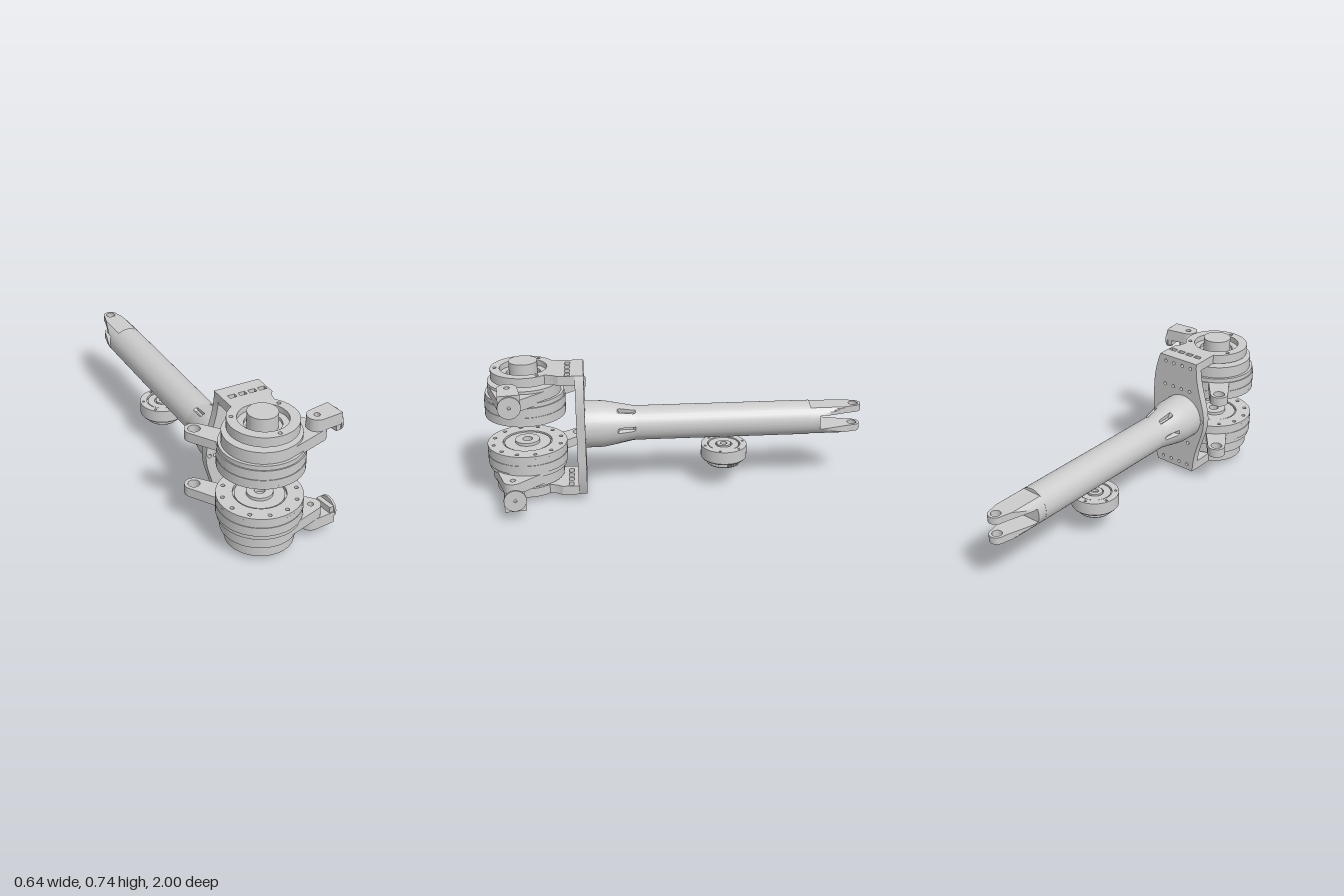
import * as THREE from 'three';
import { toCreasedNormals } from 'three/addons/utils/BufferGeometryUtils.js';

const MAT = new THREE.MeshStandardMaterial({ color: 0xcccccc });
const CX = -0.06, CY = 0.37, CZ = 0.79; // rod axis and wheel axis

export function createModel() {
  const root = new THREE.Group();
  root.name = 'strutWithTwinHubs';

  const add = (parent, name, geo) => {
    const m = new THREE.Mesh(toCreasedNormals(geo, 0.5), MAT);
    m.name = name;
    parent.add(m);
    return m;
  };
  const circleHole = (shape, x, y, r) => {
    shape.holes.push(new THREE.Path().absarc(x, y, r, 0, Math.PI * 2, true));
    return shape;
  };
  const rectHole = (shape, x, y, w, h) => {
    shape.holes.push(new THREE.Path([[-1, -1], [-1, 1], [1, 1], [1, -1]]
      .map(([a, b]) => new THREE.Vector2(x + a * w / 2, y + b * h / 2))));
    return shape;
  };
  const disc = (x, z, r, inner = 0) => {
    const s = new THREE.Shape().absarc(x, z, r, 0, Math.PI * 2);
    return inner ? circleHole(s, x, z, inner) : s;
  };
  // outline around two circles joined by their tangents
  const link = (x1, z1, r1, x2, z2, r2) => {
    const a = Math.atan2(z2 - z1, x2 - x1);
    const o = Math.acos((r1 - r2) / Math.hypot(x2 - x1, z2 - z1));
    return new THREE.Shape()
      .absarc(x2, z2, r2, a - o, a + o)
      .absarc(x1, z1, r1, a + o, a - o + Math.PI * 2);
  };
  // plan shape (x, z) raised from y0 to y1
  const slab = (shape, y0, y1, steps = 1) => {
    const g = new THREE.ExtrudeGeometry(shape, { depth: y1 - y0, steps, bevelEnabled: false, curveSegments: 24 });
    return g.rotateX(Math.PI / 2).translate(0, y1, 0);
  };
  const lathe = (pts, seg = 48) => new THREE.LatheGeometry(pts.map(p => new THREE.Vector2(...p)), seg);

  // ---- one hub unit; the lower one is the upper one mirrored in height
  const hubUnit = (name, flip) => {
    const g = new THREE.Group();
    g.name = name;
    root.add(g);
    const layer = (part, shape, y0, y1) =>
      add(g, part, flip ? slab(shape, 2 * CY - y1, 2 * CY - y0) : slab(shape, y0, y1));

    // stepped drum with a thin seam groove
    const profile = [[0, 0.47], [0.211, 0.47], [0.211, 0.503], [0.208, 0.503], [0.208, 0.507], [0.211, 0.507],
      [0.211, 0.555], [0.205, 0.555], [0.205, 0.578], [0.19, 0.578], [0.19, 0.64], [0.102, 0.64],
      [0.102, 0.648], [0.095, 0.648], [0.095, 0.66], [0, 0.66]];
    const pts = flip ? profile.map(([r, y]) => [r, 2 * CY - y]).reverse() : profile;
    add(g, 'drum', lathe(pts, 56).translate(CX, 0, CZ));

    // inner face with a ring of bolt holes, recess and centre boss
    const face = disc(CX, CZ, 0.211, 0.13);
    for (let i = 0; i < 12; i++) {
      const a = (i + 0.5) * Math.PI / 6;
      circleHole(face, CX + 0.182 * Math.cos(a), CZ + 0.182 * Math.sin(a), 0.01);
    }
    layer('faceRing', face, 0.455, 0.47);
    layer('faceDisc', disc(CX, CZ, 0.122, 0.06), 0.459, 0.47);
    layer('centreBoss', disc(CX, CZ, 0.065, 0.026), 0.443, 0.47);

    // lug with eye
    layer('lug', circleHole(link(-0.15, 0.69, 0.06, -0.272, 0.522, 0.048), -0.272, 0.522, 0.03), 0.505, 0.555);

    // steering arm and its clevis
    layer('steeringArm', circleHole(link(CX, CZ, 0.189, 0.19, 0.86, 0.05), 0.19, 0.86, 0.015), 0.565, 0.625);
    const clevis = new THREE.Shape().absarc(0, 0, 0.05, Math.PI / 2, Math.PI * 1.5)
      .lineTo(0.11, -0.055).lineTo(0.11, 0.055);
    circleHole(clevis, 0, 0, 0.015);
    const lip = new THREE.Shape([[0.082, -0.05], [0.11, -0.05], [0.11, 0.05], [0.082, 0.05]]
      .map(p => new THREE.Vector2(...p)));
    const end = [layer('clevisBlock', clevis, 0.625, 0.688), layer('clevisLip', lip, 0.592, 0.63)];
    const pad = new THREE.ExtrudeGeometry(disc(0, 0, 0.058, 0.008), { depth: 0.012, bevelEnabled: false, curveSegments: 24 });
    pad.rotateY(Math.PI / 2).translate(0.107, flip ? 0.115 : 0.625, 0);
    end.push(add(g, 'clevisPad', pad));
    end.forEach(m => { m.rotation.y = 0.13; m.position.set(0.19, 0, 0.86); });

    // bracket arm ending in a flange ring
    const fx = CX + 0.004;
    const arm = new THREE.Shape().moveTo(-0.143, 0.522).lineTo(0.1, 0.522).lineTo(0.1, 0.61)
      .lineTo(0.08, 0.64).absarc(fx, CZ, 0.171, -0.72, Math.PI + 1.05).lineTo(-0.143, 0.522);
    circleHole(arm, fx, CZ, 0.122);
    for (let i = 0; i < 4; i++) rectHole(arm, -0.09 + i * 0.054, 0.563, 0.038, 0.026);
    for (let i = 0; i < 3; i++) {
      const a = Math.PI / 2 + i * Math.PI * 2 / 3;
      circleHole(arm, fx + 0.147 * Math.cos(a), CZ + 0.147 * Math.sin(a), 0.01);
    }
    layer('bracketArm', arm, 0.655, 0.705);
    layer('flangeSeat', disc(fx, CZ, 0.124, 0.09), 0.652, 0.675);
    layer('axleCap', disc(CX, CZ, 0.074), 0.65, 0.74);
  };
  hubUnit('upperHub', false);
  hubUnit('lowerHub', true);

  // ---- back plate of the bracket, bulging at mid height
  const plate = new THREE.Shape().moveTo(-0.143, 0.037).lineTo(0.1, 0.037)
    .quadraticCurveTo(0.14, 0.14, 0.14, 0.25).lineTo(0.14, 0.49)
    .quadraticCurveTo(0.14, 0.6, 0.1, 0.705).lineTo(-0.143, 0.705)
    .bezierCurveTo(-0.143, 0.55, -0.207, 0.47, -0.207, CY)
    .bezierCurveTo(-0.207, 0.27, -0.143, 0.19, -0.143, 0.037);
  for (const x of [-0.188, -0.158, 0.041, 0.071]) circleHole(plate, x, CY, 0.01);
  for (const y of [0.07, 0.21, 0.53, 0.67])
    for (let i = 0; i < 4; i++) circleHole(plate, -0.105 + i * 0.056, y, 0.009);
  add(root, 'bracketPlate', new THREE.ExtrudeGeometry(plate, { depth: 0.045, bevelEnabled: false, curveSegments: 16 })
    .translate(0, 0, 0.48));
  add(root, 'plateCentre', new THREE.CylinderGeometry(0.07, 0.07, 0.02, 40).rotateX(Math.PI / 2).translate(CX, CY, 0.517));

  // ---- rod with flared socket; six slots are pressed into the flare
  const rodPts = [[0, -0.72], [0.092, -0.72], [0.092, 0.2]];
  for (let z = 0.215; z < 0.32; z += 0.012) rodPts.push([0.092 + Math.max(0, z - 0.22) * 0.2, z]);
  rodPts.push([0.124, 0.385], [0.125, 0.485], [0, 0.485]);
  const rod = lathe(rodPts, 96);
  const p = rod.attributes.position;
  for (let i = 0; i < p.count; i++) {
    const r = Math.hypot(p.getX(i), p.getZ(i)), y = p.getY(i);
    const t = Math.atan2(p.getZ(i), p.getX(i)) / (Math.PI / 3);
    if (y > 0.22 && y < 0.305 && Math.abs(t - Math.round(t)) < 0.08) {
      p.setX(i, p.getX(i) * 0.08 / r);
      p.setZ(i, p.getZ(i) * 0.08 / r);
    }
  }
  add(root, 'rod', rod.rotateX(Math.PI / 2).translate(CX, CY, 0));

  // ---- fork end: flat tines trimmed to the round of the rod
  const R = 0.0915;
  const trim = geo => {
    const q = geo.attributes.position;
    for (let i = 0; i < q.count; i++) {
      const w = Math.sqrt(R * R - q.getY(i) ** 2);
      q.setX(i, THREE.MathUtils.clamp(q.getX(i), -w, w));
    }
    return geo.translate(CX, CY, 0);
  };
  const tine = new THREE.Shape().moveTo(R, -0.71).lineTo(-R, -0.71).lineTo(-R, -0.77);
  for (let i = 1; i < 8; i++) tine.lineTo(-R + i * 0.0064, -0.77 - i * 0.023);
  tine.absarc(0, -0.96, 0.04, Math.PI, Math.PI * 2);
  for (let i = 7; i >= 0; i--) tine.lineTo(R - i * 0.0064, -0.77 - i * 0.023);
  circleHole(tine, 0, -0.96, 0.025);
  for (const [y0, y1] of [[0.037, 0.074], [-0.074, -0.037]])
    add(root, 'forkTine', trim(slab(tine, y0, y1, 6)));
  add(root, 'forkRoot', trim(new THREE.BoxGeometry(2 * R, 0.146, 0.06, 1, 12, 1).translate(0, 0, -0.74)));

  // ---- small hub under the rod
  const small = new THREE.Group();
  small.name = 'lowerSmallHub';
  small.position.set(CX, 0, -0.263);
  root.add(small);
  add(small, 'smallHubBody', lathe([[0, 0.12], [0.085, 0.12], [0.092, 0.127], [0.092, 0.155], [0.119, 0.155],
    [0.124, 0.162], [0.124, 0.217], [0, 0.217]], 48));
  const ring = disc(0, 0, 0.124, 0.088);
  for (let i = 0; i < 6; i++) {
    const a = i * Math.PI / 3 + 0.3;
    circleHole(ring, 0.107 * Math.cos(a), 0.107 * Math.sin(a), 0.007);
  }
  add(small, 'smallHubRing', slab(ring, 0.217, 0.23));
  add(small, 'smallHubFace', slab(disc(0, 0, 0.082, 0.045), 0.217, 0.227));
  add(small, 'smallHubBoss', slab(disc(0, 0, 0.038, 0.018), 0.217, 0.232));
  for (let i = 0; i < 6; i++) {
    const rib = add(small, 'smallHubRib', new THREE.BoxGeometry(0.012, 0.025, 0.006).translate(0.094, 0.142, 0));
    rib.rotation.y = 0.15 + i * 0.12;
  }
  return root;
}
